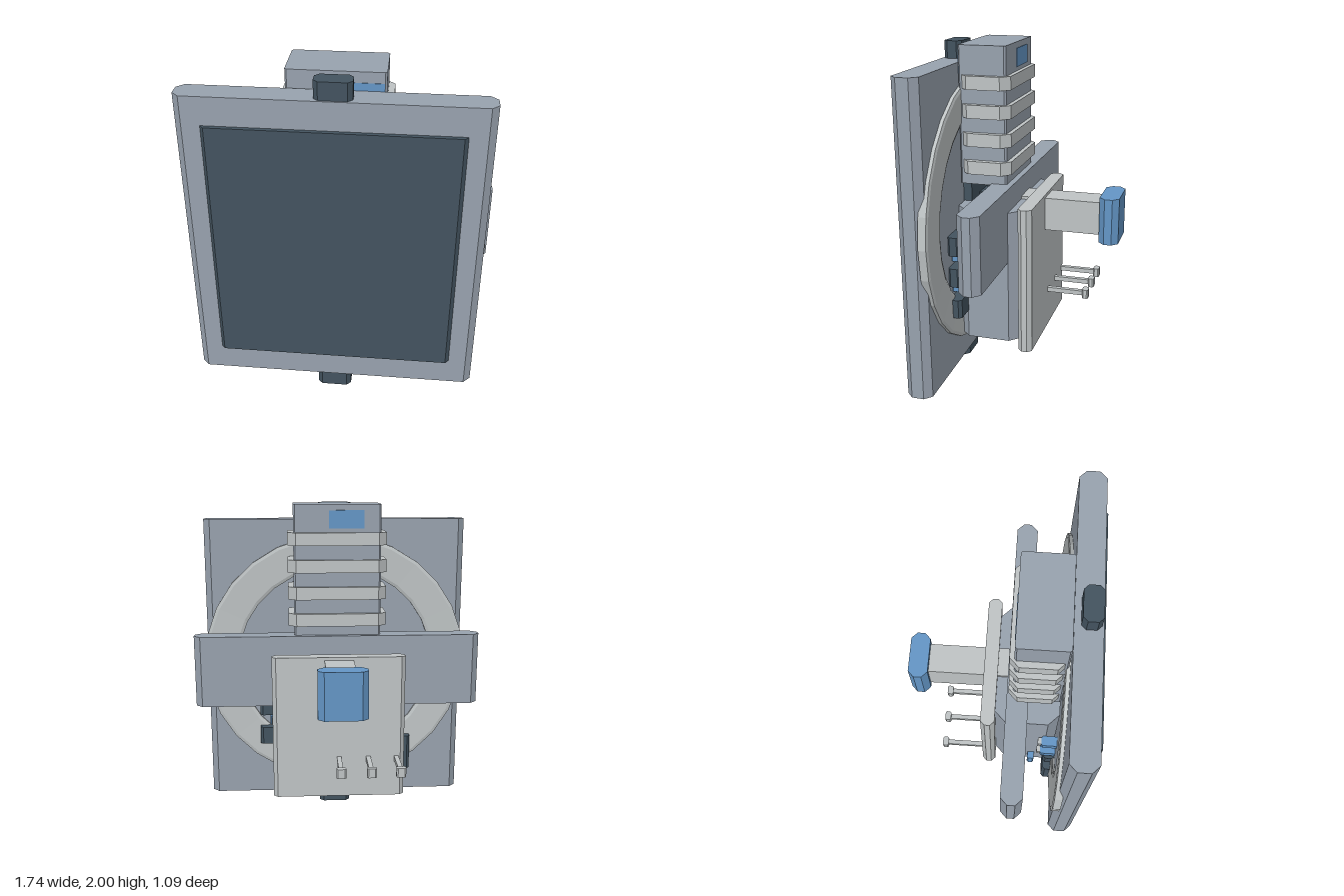
import * as THREE from 'three';

const mat = (name, color) => {
  const m = new THREE.MeshStandardMaterial({ color });
  m.name = name;
  return m;
};

export function createModel() {
  const root = new THREE.Group();
  const grey = mat('mid grey', 0x98a2ae);
  const light = mat('light grey', 0xbfc4c5);
  const dark = mat('dark slate', 0x43535f);
  const blue = mat('blue', 0x6496c6);

  // Upright slab with its four vertical edges chamfered: cx in x, cz in z
  function slab(name, material, [x0, x1], [y0, y1], [z0, z1], cx = 0, cz = cx) {
    const s = new THREE.Shape();
    const pts = cx
      ? [[x0 + cx, z0], [x1 - cx, z0], [x1, z0 + cz], [x1, z1 - cz],
         [x1 - cx, z1], [x0 + cx, z1], [x0, z1 - cz], [x0, z0 + cz]]
      : [[x0, z0], [x1, z0], [x1, z1], [x0, z1]];
    s.setFromPoints(pts.map(([x, z]) => new THREE.Vector2(x, -z)));
    const g = new THREE.ExtrudeGeometry(s, { depth: y1 - y0, bevelEnabled: false });
    g.rotateX(-Math.PI / 2).translate(0, y0, 0);
    const m = new THREE.Mesh(g, material);
    m.name = name;
    root.add(m);
    return m;
  }
  const sym = (w) => [-w, w];

  // Front panel, its screen and the end tabs
  slab('frontPanel', grey, sym(0.82), [0.1, 1.9], [0.365, 0.515], 0.04);
  const screenShape = new THREE.Shape();
  screenShape.setFromPoints([[-0.685, -0.51], [0.685, -0.51], [0.66, -0.54], [-0.66, -0.54]]
    .map(([x, z]) => new THREE.Vector2(x, z)));
  const screen = new THREE.Mesh(
    new THREE.ExtrudeGeometry(screenShape, { depth: 1.475, bevelEnabled: false })
      .rotateX(-Math.PI / 2).translate(0, 0.265, 0), dark);
  screen.name = 'screen';
  root.add(screen);
  slab('topTab', dark, sym(0.1), [1.88, 2], [0.4, 0.505], 0.025);
  slab('bottomTab', dark, sym(0.1), [0, 0.12], [0.4, 0.505], 0.025);

  // Ring set into the back of the panel
  const profile = [[0.62, 0.385], [0.62, 0.352], [0.64, 0.345], [0.815, 0.34], [0.835, 0.345], [0.835, 0.39], [0.62, 0.385]];
  const ringGeo = new THREE.LatheGeometry(
    profile.map(([r, z]) => new THREE.Vector2(r, -z)).reverse(), 28).toNonIndexed();
  ringGeo.rotateX(-Math.PI / 2).scale(1, 0.965, 1);
  ringGeo.computeVertexNormals();
  const ringMat = light;
  // lathe axis now runs along z, with the profile depth facing forward
  const ring = new THREE.Mesh(ringGeo, ringMat);
  const box = new THREE.Box3().setFromBufferAttribute(ringGeo.attributes.position);
  ring.position.set(0, 1, 0.34 - box.min.z);
  if (box.max.z < 0) {
    ringGeo.rotateY(Math.PI);
    ringGeo.computeBoundingBox();
    ring.position.z = 0.34 - ringGeo.boundingBox.min.z;
  }
  // close both faces whichever way the profile winds
  light.side = THREE.DoubleSide;
  ring.name = 'backRing';
  root.add(ring);

  // Main body, crossbar and rear plate
  slab('body', grey, sym(0.365), [0.285, 1.085], [-0.02, 0.36], 0.065);
  slab('crossbar', grey, sym(0.87), [0.785, 1.22], [0.045, 0.17], 0.04);
  slab('rearPlate', light, sym(0.4), [0.245, 1.12], [-0.1, -0.018], 0.025);

  // Handle
  slab('handleShaft', light, sym(0.087), [0.905, 1.102], [-0.44, 0.265]);
  slab('handleGrip', blue, sym(0.14), [0.865, 1.14], [-0.545, -0.43], 0.035);

  // Pins on the rear plate
  for (const x of [-0.35, -0.178, 0]) {
    slab('pinShaft', light, [x - 0.014, x + 0.014], [0.471, 0.499], [-0.33, -0.09]);
    slab('pinHead', light, [x - 0.028, x + 0.028], [0.457, 0.513], [-0.357, -0.32], 0.008);
  }

  // Upper tower with wrapped ribs
  slab('tower', grey, sym(0.262), [1.21, 2], [0.08, 0.357], 0.01);
  for (let i = 0; i < 4; i++) {
    const y = 1.315 + i * 0.161;
    slab('towerRib', light, sym(0.297), [y - 0.038, y + 0.038], [0.055, 0.35], 0.05);
  }
  slab('towerBackMark', blue, [-0.16, 0.05], [1.86, 1.965], [0.077, 0.083]);
  slab('towerFrontMark', blue, [0.06, 0.25], [1.84, 1.94], [0.354, 0.36]);

  // Dark neck behind the body
  slab('neckTop', dark, sym(0.2), [1.07, 1.215], [0.315, 0.37]);
  slab('neckPost', dark, sym(0.07), [0.265, 1.1], [0.3, 0.37], 0.015);

  // Blocks and knobs beside the body
  const block = (x, y0, y1) =>
    slab('sideBlock', dark, [x - 0.078, x + 0.078], [y0, y1], [0.292, 0.37], 0.018);
  for (const y of [0.455, 0.65, 0.84]) block(0.412, y, y + 0.112);
  block(-0.412, 0.265, 0.49);
  slab('upperSideBlock', dark, [-0.44, -0.35], [0.49, 0.58], [0.292, 0.37], 0.015);
  for (const x of [-0.395, 0.395]) {
    for (const y of [0.62, 0.81]) {
      slab('knob', blue, [x - 0.03, x + 0.03], [y - 0.026, y + 0.026], [0.27, 0.37], 0.008);
      slab('knobTip', light, [x - 0.02, x + 0.02], [y - 0.02, y + 0.02], [0.247, 0.275], 0.006);
    }
  }
  slab('sideSwitch', blue, [-0.41, -0.355], [0.325, 0.43], [0.195, 0.237], 0.008);

  return root;
}
